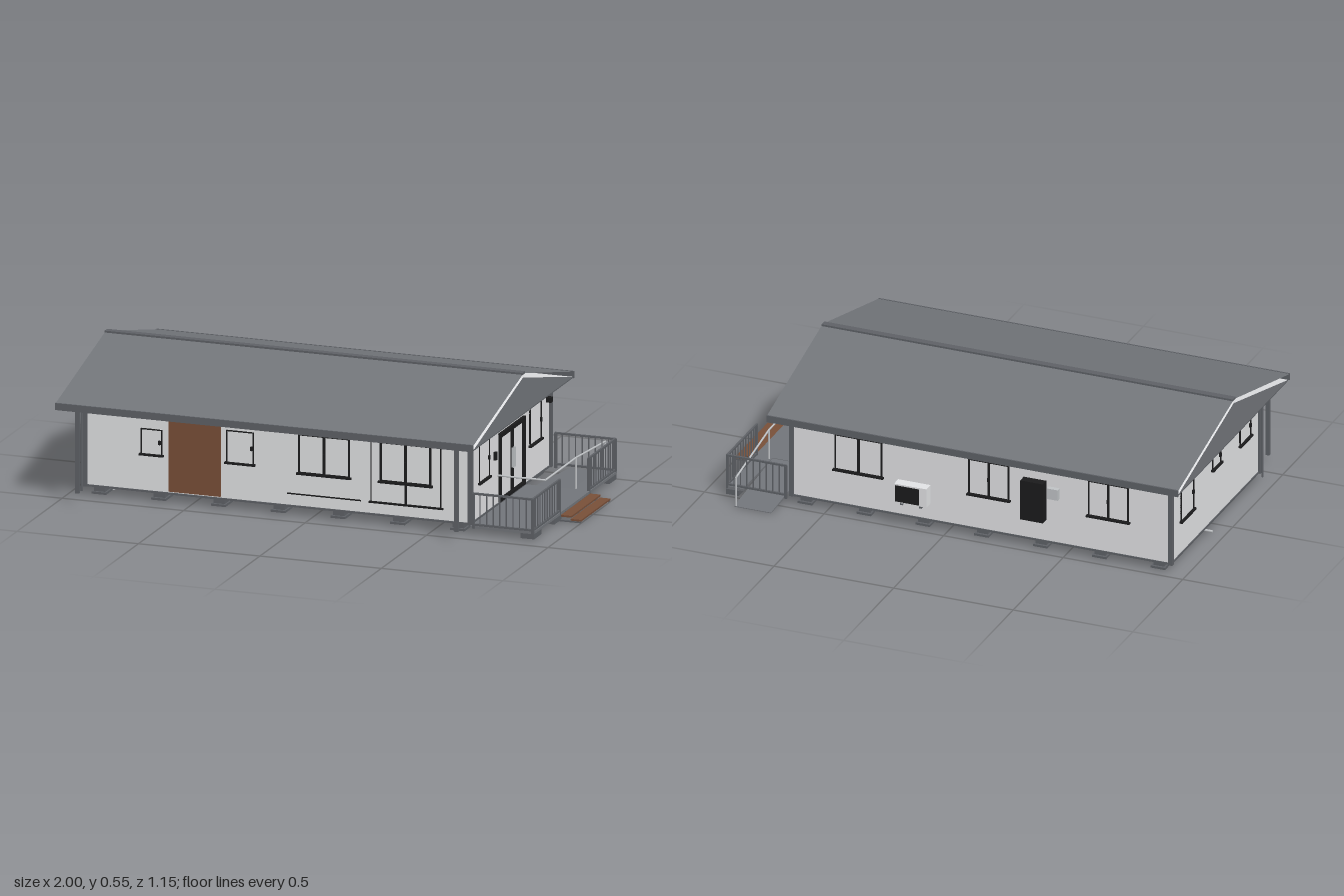
import * as THREE from 'three';

const mat = (name, color) => {
  const m = new THREE.MeshStandardMaterial({ color });
  m.name = name;
  return m;
};
const M = {
  wall: mat('wall white', 0xe1e2e4),
  roof: mat('roof grey', 0x72757a),
  trim: mat('trim grey', 0x5e6166),
  black: mat('frame black', 0x1b1b1c),
  wood: mat('brown wood', 0x784f38),
  metal: mat('light metal', 0xbfc2c5),
};
M.roofSheet = M.roof.clone();
M.roofSheet.name = 'roof sheet grey';
M.roofSheet.side = THREE.DoubleSide;

export function createModel() {
  const model = new THREE.Group();
  model.name = 'prefabHouse';
  const group = (name, parent = model) => {
    const g = new THREE.Group();
    g.name = name;
    parent.add(g);
    return g;
  };
  const add = (parent, name, geo, m) => {
    const mesh = new THREE.Mesh(geo, m);
    mesh.name = name;
    parent.add(mesh);
    return mesh;
  };
  // box from its minimum and maximum corners
  const box = (parent, name, m, x0, x1, y0, y1, z0, z1) => {
    const b = add(parent, name, new THREE.BoxGeometry(x1 - x0, y1 - y0, z1 - z0), m);
    b.position.set((x0 + x1) / 2, (y0 + y1) / 2, (z0 + z1) / 2);
    return b;
  };
  // straight round bar between two points
  const bar = (parent, name, m, a, b, r = 0.004) => {
    const p = new THREE.Vector3(...a), q = new THREE.Vector3(...b);
    const c = add(parent, name, new THREE.CylinderGeometry(r, r, p.distanceTo(q), 8), m);
    c.position.copy(p).lerp(q, 0.5);
    c.quaternion.setFromUnitVectors(new THREE.Vector3(0, 1, 0), q.sub(p).normalize());
    return c;
  };
  // profile in (-z, y) swept along x
  const prism = (parent, name, points, x0, x1, m) => {
    const shape = new THREE.Shape(points.map(p => new THREE.Vector2(...p)));
    const p = add(parent, name, new THREE.ExtrudeGeometry(shape, { depth: x1 - x0, bevelEnabled: false }), m);
    p.rotation.y = Math.PI / 2;
    p.position.x = x0;
    return p;
  };

  // body, floor and trims
  const X0 = -0.935, X1 = 0.65, Z0 = -0.463, Z1 = 0.417;
  const body = group('body');
  box(body, 'walls', M.wall, X0, X1, 0.042, 0.375, Z0, Z1);
  box(body, 'floorSlab', M.trim, X0 - 0.003, X1 + 0.003, 0.034, 0.042, Z0 - 0.003, Z1 + 0.003);
  box(body, 'topTrim', M.trim, X0 - 0.004, X1 + 0.004, 0.347, 0.376, Z0 - 0.004, Z1 + 0.004);
  for (const x of [X0, X1]) for (const z of [Z0, Z1])
    box(body, 'cornerTrim', M.trim, x - 0.009, x + 0.009, 0.034, 0.372, z - 0.008, z + 0.008);
  for (let i = 0; i < 7; i++) {
    const x = -0.88 + i * 0.246;
    box(body, 'floorSeam', M.black, x - 0.001, x + 0.001, 0.033, 0.035, Z0, Z1);
    for (const z of [-0.42, 0.376]) {
      box(body, 'footingPad', M.trim, x - 0.03, x + 0.03, 0.006, 0.015, z - 0.042, z + 0.042);
      box(body, 'footingBlock', M.trim, x - 0.023, x + 0.023, 0.015, 0.034, z - 0.032, z + 0.032);
    }
  }

  // wall-mounted details: local x runs along the wall, local z points outward
  const wall = (name, x, z, turn) => {
    const g = group(name);
    g.position.set(x, 0, z);
    g.rotation.y = turn * Math.PI / 2;
    return g;
  };
  const front = wall('frontWallDetails', 0, Z1, 0);
  const right = wall('rightWallDetails', X1, 0, 1);
  const back = wall('backWallDetails', 0, Z0, 2);
  const left = wall('leftWallDetails', X0, 0, 3);
  const frame = (w, name, u0, u1, y0, y1, t, d = 0.006) => {
    box(w, name, M.black, u0, u0 + t, y0, y1, 0, d);
    box(w, name, M.black, u1 - t, u1, y0, y1, 0, d);
    box(w, name, M.black, u0, u1, y1 - t, y1, 0, d);
    box(w, name, M.black, u0, u1, y0, y0 + t, 0, d);
  };
  const windowAt = (w, u0, u1, y0, y1, t = 0.004, mullion = false) => {
    box(w, 'windowGlass', M.wall, u0, u1, y0, y1, 0, 0.002);
    frame(w, 'windowFrame', u0, u1, y0, y1, t);
    box(w, 'windowSill', M.black, u0 - 0.006, u1 + 0.006, y0 - 0.004, y0 + 0.004, 0, 0.012);
    const c = mullion ? (u0 + u1) / 2 : u1 - 0.01;
    const h = (y0 + y1) / 2;
    if (mullion) box(w, 'windowMullion', M.black, c - 0.005, c + 0.005, y0, y1, 0, 0.006);
    box(w, 'windowHandle', M.black, c - 0.004, c + 0.004, h - 0.008, h + 0.008, 0, 0.01);
  };

  // front
  box(front, 'brownPanel', M.wood, -0.59, -0.377, 0.047, 0.347, 0, 0.008);
  windowAt(front, -0.705, -0.618, 0.186, 0.29);
  windowAt(front, -0.353, -0.24, 0.186, 0.317);
  windowAt(front, -0.058, 0.155, 0.172, 0.332, 0.007, true);
  box(front, 'lowRail', M.black, -0.105, 0.2, 0.085, 0.09, 0, 0.003);
  frame(front, 'outerFrame', 0.24, 0.53, 0.086, 0.342, 0.003);
  windowAt(front, 0.278, 0.49, 0.172, 0.335, 0.008, true);
  box(front, 'lowerMullion', M.black, 0.38, 0.388, 0.086, 0.172, 0, 0.006);
  box(front, 'lowRail', M.black, 0.234, 0.54, 0.084, 0.091, 0, 0.008);

  // entrance end
  windowAt(right, -0.33, -0.214, 0.176, 0.332, 0.005);
  windowAt(right, 0.234, 0.36, 0.176, 0.332, 0.005);
  box(right, 'doorGlass', M.wall, -0.113, 0.168, 0.045, 0.317, 0, 0.003);
  frame(right, 'doorFrame', -0.113, 0.168, 0.045, 0.318, 0.011, 0.012);
  for (const [a, b] of [[-0.102, 0.026], [0.03, 0.157]]) frame(right, 'doorLeaf', a, b, 0.05, 0.308, 0.009, 0.009);
  for (const u of [0.018, 0.038]) box(right, 'doorHandle', M.metal, u - 0.003, u + 0.003, 0.15, 0.23, 0.009, 0.018);
  box(right, 'entryPanel', M.black, -0.163, -0.147, 0.226, 0.257, 0, 0.012);
  box(right, 'switch', M.black, 0.171, 0.179, 0.172, 0.193, 0, 0.008);
  box(right, 'wallLight', M.black, 0.422, 0.445, 0.302, 0.322, 0, 0.02);
  bar(right, 'roundLamp', M.wall, [0.21, 0.336, 0], [0.21, 0.336, 0.012], 0.008);

  // back, where the wall runs towards -x
  for (const [a, b] of [[-0.47, -0.27], [0.09, 0.26], [0.59, 0.76]]) windowAt(back, a, b, 0.182, 0.335, 0.006, true);
  box(back, 'airConditioner', M.wall, -0.2, -0.065, 0.115, 0.194, 0.012, 0.054);
  box(back, 'fanGrille', M.black, -0.194, -0.095, 0.12, 0.188, 0.054, 0.057);
  for (const u of [-0.17, -0.09]) box(back, 'unitBracket', M.trim, u - 0.005, u + 0.005, 0.107, 0.115, 0, 0.054);
  box(back, 'meterCabinet', M.black, 0.32, 0.415, 0.13, 0.297, 0, 0.036);
  box(back, 'junctionBox', M.metal, 0.425, 0.47, 0.23, 0.275, 0, 0.02);

  // far end
  windowAt(left, -0.37, -0.24, 0.176, 0.33);
  windowAt(left, -0.055, 0.03, 0.255, 0.325);
  windowAt(left, 0.22, 0.33, 0.235, 0.33);

  // roof: grey gables on a white-topped core, thin sheets floating above, gutters and ridge cap
  const roof = group('roof');
  prism(roof, 'gableCore', [[-0.56, 0.38], [0.54, 0.38], [-0.015, 0.525]], -0.998, 0.717, [M.roof, M.wall]);
  box(roof, 'soffit', M.trim, -0.998, 0.717, 0.376, 0.3805, -0.54, 0.56);
  for (const z of [0.573, -0.545]) {
    const dz = z - 0.015, y = 0.4, drop = 0.543 - y;
    const sheet = add(roof, 'roofSheet', new THREE.PlaneGeometry(1.72, Math.hypot(dz, drop)), M.roofSheet);
    sheet.position.set(-0.14, (y + 0.543) / 2, (z + 0.015) / 2);
    sheet.rotation.x = -Math.PI / 2 + Math.atan2(drop, dz > 0 ? dz : -dz) * Math.sign(dz);
    box(roof, 'gutterBoard', M.trim, -1, 0.72, 0.374, 0.402, z - 0.003, z + 0.003);
  }
  box(roof, 'ridgeCap', M.trim, -1, 0.72, 0.538, 0.547, 0.001, 0.029);
  for (const x of [-0.915, 0.645]) box(roof, 'eavePost', M.trim, x - 0.008, x + 0.008, 0.045, 0.38, 0.55, 0.565);

  // drain pipes
  const pipes = group('pipes');
  bar(pipes, 'downPipe', M.trim, [-0.947, 0.015, 0.425], [-0.947, 0.36, 0.425], 0.005);
  bar(pipes, 'drainPipe', M.metal, [-0.955, 0.016, -0.095], [-0.53, 0.016, -0.095], 0.005);
  bar(pipes, 'drainPipe', M.metal, [-0.84, 0.016, 0.14], [-0.84, 0.016, 0.36], 0.005);

  // porch deck, steps and ramp
  const porch = group('porch');
  box(porch, 'deck', M.roof, 0.655, 0.917, 0.026, 0.036, -0.19, 0.43);
  box(porch, 'deckStrip', M.roof, 0.845, 0.917, 0.026, 0.036, -0.485, -0.19);
  for (const z of [0.385, 0.16, -0.165, -0.45]) box(porch, 'deckFoot', M.trim, 0.86, 0.915, 0.004, 0.026, z - 0.04, z + 0.04);
  for (const [x, y] of [[0.917, 0.018], [0.957, 0.006]])
    box(porch, 'step', M.wood, x, x + 0.043, y, y + 0.007, -0.19, 0.133);
  box(porch, 'stepUnderDeck', M.wood, 0.755, 0.8, 0.006, 0.014, -0.19, 0.133);
  for (const z of [-0.187, 0.13]) box(porch, 'stepSide', M.trim, 0.905, 0.998, 0, 0.006, z - 0.006, z + 0.006);
  prism(porch, 'ramp', [[0.19, 0.012], [0.575, 0], [0.575, 0.003], [0.19, 0.034]], 0.69, 0.845, M.roof);

  // railings with evenly spaced balusters
  const railing = (x0, z0, x1, z1) => {
    const g = group('railing', porch);
    const len = Math.hypot(x1 - x0, z1 - z0), n = Math.round(len / 0.026);
    for (const y of [0.042, 0.166]) {
      const w = 0.004;
      box(g, 'rail', M.trim, Math.min(x0, x1) - w, Math.max(x0, x1) + w, y - w, y + w, Math.min(z0, z1) - w, Math.max(z0, z1) + w);
    }
    for (let i = 0; i <= n; i++) {
      const x = x0 + (x1 - x0) * i / n, z = z0 + (z1 - z0) * i / n;
      const r = i % n ? 0.002 : 0.005;
      box(g, i % n ? 'baluster' : 'railPost', M.trim, x - r, x + r, i % n ? 0.042 : 0.026, 0.166, z - r, z + r);
    }
  };
  railing(0.912, 0.432, 0.912, 0.137);
  railing(0.912, -0.19, 0.912, -0.48);
  railing(0.668, 0.432, 0.912, 0.432);
  railing(0.668, -0.48, 0.912, -0.48);

  // ramp handrail
  const path = [[0.66, 0.16, 0.14], [0.855, 0.16, 0.14], [0.855, 0.16, -0.2], [0.838, 0.125, -0.57], [0.838, 0, -0.57]];
  for (let i = 1; i < path.length; i++) bar(porch, 'rampHandrail', M.metal, path[i - 1], path[i]);
  bar(porch, 'handrailPost', M.metal, [0.855, 0.03, -0.2], [0.855, 0.16, -0.2]);

  return model;
}
